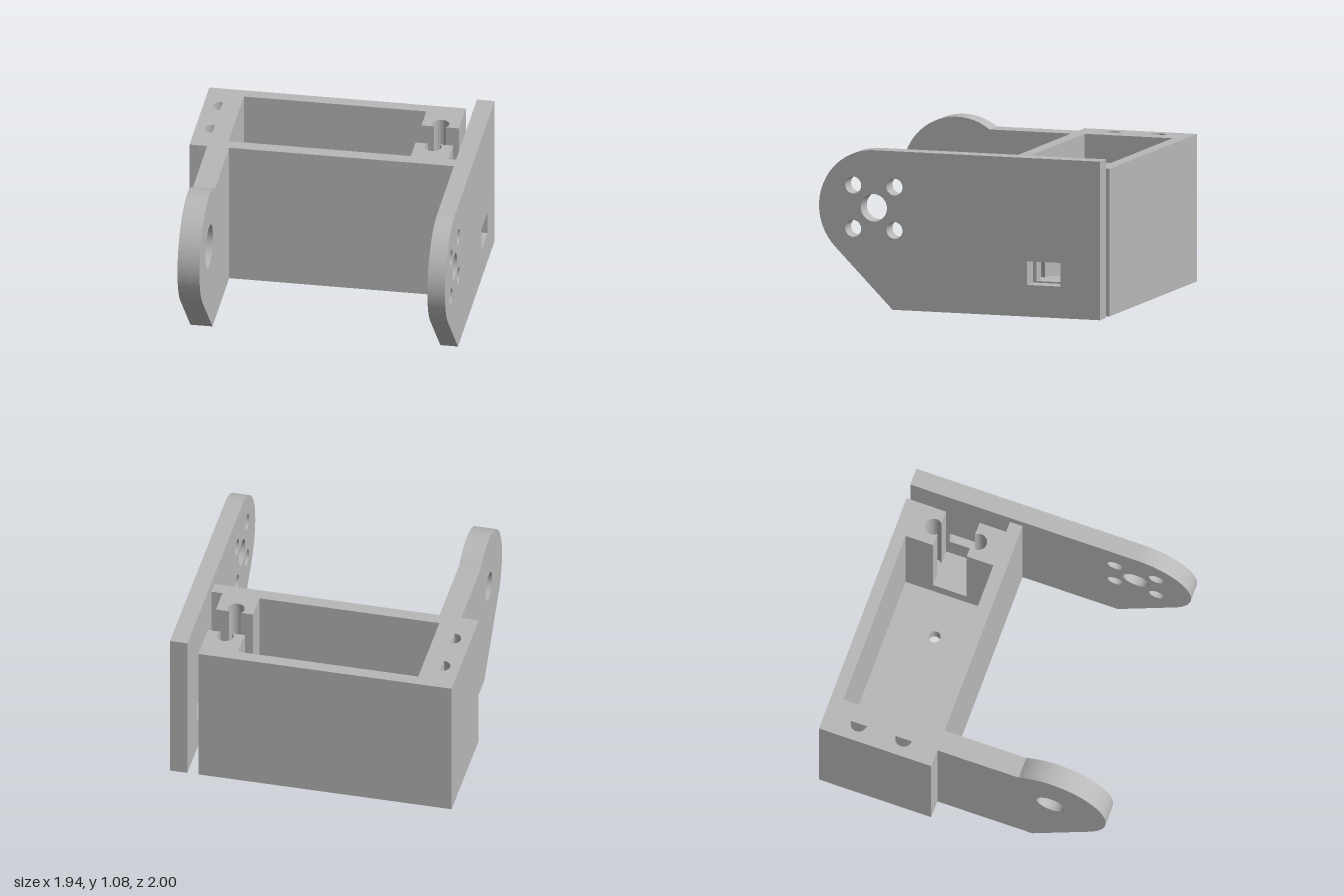
import * as THREE from 'three';
import { toCreasedNormals } from 'three/addons/utils/BufferGeometryUtils.js';

const PIN = 0.057; // screw hole radius

function polygon(points) {
  return new THREE.Shape(points.map(([x, y]) => new THREE.Vector2(x, y)));
}

function circle(x, y, r) {
  return new THREE.Path().absarc(x, y, r, 0, Math.PI * 2, false);
}

function rect(x0, y0, x1, y1) {
  return polygon([[x0, y0], [x1, y0], [x1, y1], [x0, y1]]);
}

function extrude(shape, depth) {
  return new THREE.ExtrudeGeometry(shape, { depth, bevelEnabled: false, curveSegments: 32 });
}

export function createModel() {
  const model = new THREE.Group();
  model.name = 'servoBracket';
  const grey = new THREE.MeshStandardMaterial({ color: 0xb8b8b8 });
  grey.name = 'grey plastic';

  function add(name, geometry, parent = model) {
    const mesh = new THREE.Mesh(toCreasedNormals(geometry, 0.5), grey);
    mesh.name = name;
    parent.add(mesh);
  }

  // Horizontal slab from a plan drawn as (x, -z)
  function slab(name, shape, y0, y1, parent) {
    add(name, extrude(shape, y1 - y0).rotateX(-Math.PI / 2).translate(0, y0, 0), parent);
  }

  // Upright plate from a side profile drawn as (z, y)
  function plate(name, shape, x0, x1, parent) {
    add(name, extrude(shape, x1 - x0).rotateY(-Math.PI / 2).translate(x1, 0, 0), parent);
  }

  // Housing: floor with drain hole, pocket walls, then walls with the cable slot
  const housing = new THREE.Group();
  housing.name = 'housing';
  model.add(housing);
  const floorY = 0.1, slotY = 0.215;

  const floor = rect(-0.97, 0.2, 0.775, 1);
  floor.holes.push(circle(0.215, 0.6, 0.04));
  slab('housingFloor', floor, 0, floorY, housing);

  const lower = rect(-0.97, 0.2, 0.775, 1);
  lower.holes.push(rect(-0.72, 0.29, 0.52, 0.915));
  slab('lowerWalls', lower, floorY, slotY, housing);

  const a = Math.asin(0.04 / PIN); // where the screw holes break into the slot
  const upper = new THREE.Shape();
  upper.moveTo(-0.97, 0.2);
  upper.lineTo(-0.97, 1);
  upper.lineTo(0.775, 1);
  upper.lineTo(0.775, 0.72);
  upper.absarc(0.645, 0.76, PIN, -a, Math.PI + a, false);
  for (const [x, y] of [[0.52, 0.72], [0.52, 0.915], [-0.72, 0.915], [-0.72, 0.29], [0.52, 0.29], [0.52, 0.48]]) {
    upper.lineTo(x, y);
  }
  upper.absarc(0.645, 0.44, PIN, Math.PI - a, Math.PI * 2 + a, false);
  upper.lineTo(0.775, 0.48);
  upper.lineTo(0.775, 0.2);
  upper.closePath();
  for (const y of [0.44, 0.76]) {
    const half = new THREE.Path().absarc(-0.847, y, PIN, Math.PI / 2, Math.PI * 1.5, false);
    half.closePath();
    upper.holes.push(half);
  }
  slab('upperWalls', upper, slotY, 1, housing);

  // Arm profile: sloped underside running into a round end
  const pz = 0.61, py = 0.685, R = 0.39;
  function armShape(back, top, endAngle) {
    const s = new THREE.Shape();
    s.moveTo(back, 0);
    s.lineTo(0.477, 0);
    s.absarc(pz, py, R, -Math.PI / 4, endAngle, false);
    s.lineTo(back, top);
    s.closePath();
    return s;
  }

  // Long arm with hub hole, four screw holes and cable window
  const left = armShape(-1, py + R, Math.PI / 2);
  left.holes.push(circle(pz, py, 0.093), rect(-0.72, 0.215, -0.48, 0.375));
  for (const i of [-1, 1]) {
    for (const j of [-1, 1]) left.holes.push(circle(pz + i * 0.147, py + j * 0.147, PIN));
  }
  plate('leftArm', left, 0.85, 0.97);

  // Web joining the long arm to the housing
  slab('armWeb', rect(0.775, 0.2, 0.85, 0.29), 0, 1);

  // Short arm with a bearing hole, recessed on the inner side
  const rightArm = new THREE.Group();
  rightArm.name = 'rightArm';
  model.add(rightArm);
  const layers = [['outerHalf', 0.1, -0.85, -0.78], ['innerHalf', 0.15, -0.78, -0.7]];
  for (const [name, r, x0, x1] of layers) {
    const s = armShape(-0.2, 1, Math.PI - Math.asin((1 - py) / R));
    s.holes.push(circle(pz, py, r));
    plate(name, s, x0, x1, rightArm);
  }

  return model;
}
